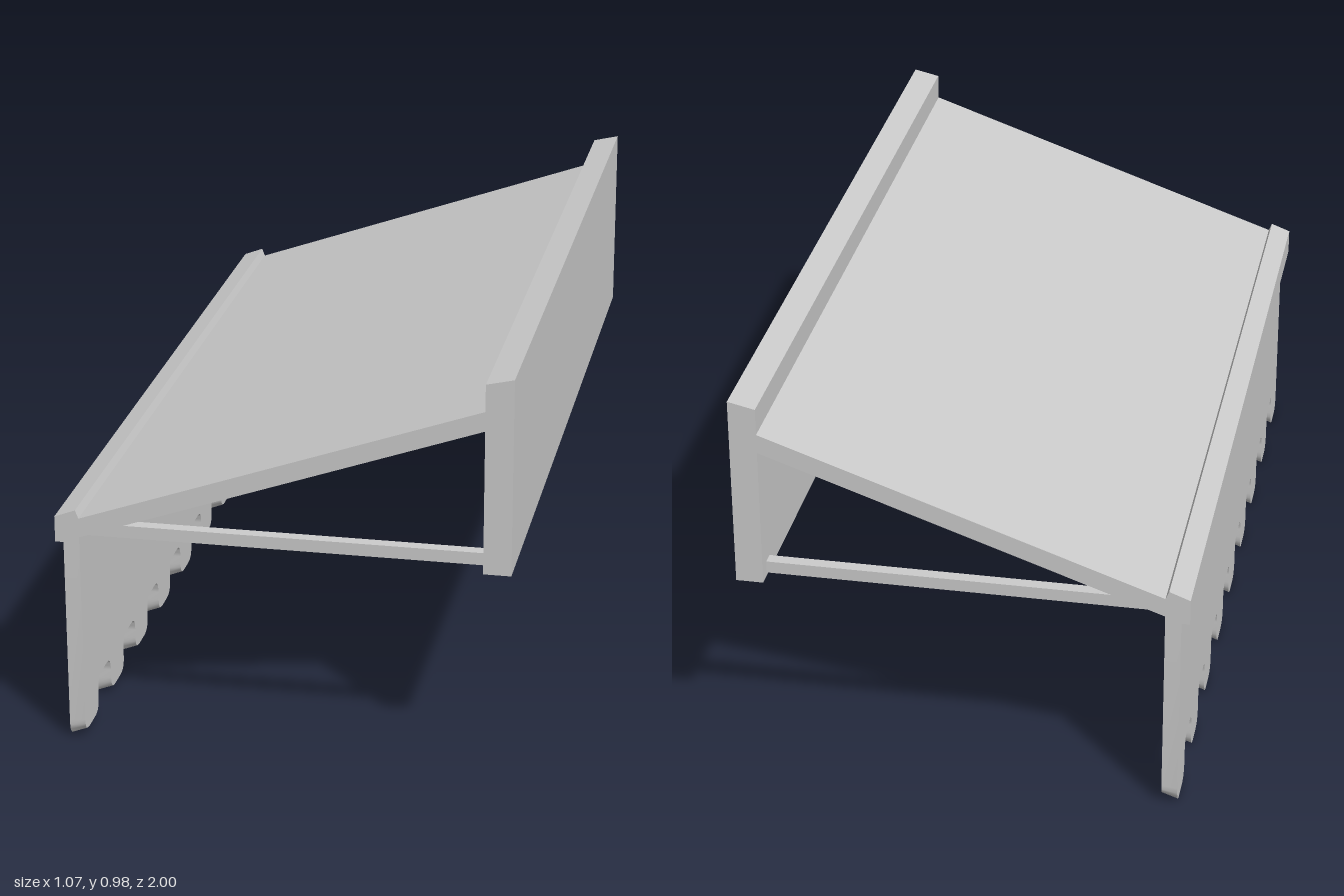
import * as THREE from 'three';
import { toCreasedNormals } from 'three/addons/utils/BufferGeometryUtils.js';

const material = new THREE.MeshStandardMaterial({ color: 0xcccccc });

export function createModel() {
  const group = new THREE.Group();
  const add = (name, geometry) => {
    const mesh = new THREE.Mesh(geometry, material);
    mesh.name = name;
    group.add(mesh);
    return mesh;
  };

  // Side profile in x, y swept along the full length in z
  const sweep = (name, points) => {
    const shape = new THREE.Shape(points.map(([x, y]) => new THREE.Vector2(x, y)));
    const geometry = new THREE.ExtrudeGeometry(shape, { depth: 2, bevelEnabled: false });
    add(name, geometry.translate(0, 0, -1));
  };
  sweep('wallBoard', [[0.47, 0.505], [0.535, 0.505], [0.535, 0.98], [0.47, 0.965]]);
  sweep('canopy', [[-0.48, 0.52], [0.47, 0.853], [0.47, 0.9], [-0.48, 0.567]]);
  sweep('frontRail', [[-0.538, 0.505], [-0.48, 0.505], [-0.48, 0.567], [-0.488, 0.587], [-0.538, 0.568]]);

  // Horizontal struts near both ends
  for (const side of [-1, 1]) {
    const strut = add('strut', new THREE.BoxGeometry(0.95, 0.03, 0.03));
    strut.position.set(-0.005, 0.527, side * 0.95);
  }

  // Hanging valance with nine rounded scallops
  const teeth = 9, width = 0.12, pitch = (2 - width) / (teeth - 1), top = 0.105, r = 0.035;
  const shape = new THREE.Shape();
  shape.moveTo(-1, 0.505);
  for (let i = 0; i < teeth; i++) {
    const a = -1 + i * pitch, b = a + width, c = a + pitch;
    shape.lineTo(a, 0.045);
    shape.bezierCurveTo(a, 0.012, a + 0.012, 0, a + 0.04, 0);
    shape.lineTo(b - 0.04, 0);
    shape.bezierCurveTo(b - 0.012, 0, b, 0.012, b, 0.045);
    if (i < teeth - 1) {
      shape.lineTo(b, top - r);
      shape.bezierCurveTo(b, top - 0.012, b + 0.01, top, b + r, top);
      shape.lineTo(c - r, top);
      shape.bezierCurveTo(c - 0.01, top, c, top - 0.012, c, top - r);
    }
  }
  shape.lineTo(1, 0.505);
  const valance = new THREE.ExtrudeGeometry(shape, { depth: 0.038, bevelEnabled: false, curveSegments: 6 });
  valance.rotateY(Math.PI / 2).translate(-0.518, 0, 0);
  // Slant the scallop tips up towards the inside
  const p = valance.attributes.position;
  for (let i = 0; i < p.count; i++) {
    const y = p.getY(i);
    if (p.getX(i) > -0.5 && y < 0.06) p.setY(i, y + 0.016 * (1 - y / 0.06));
  }
  add('valance', toCreasedNormals(valance, 0.7));

  return group;
}
